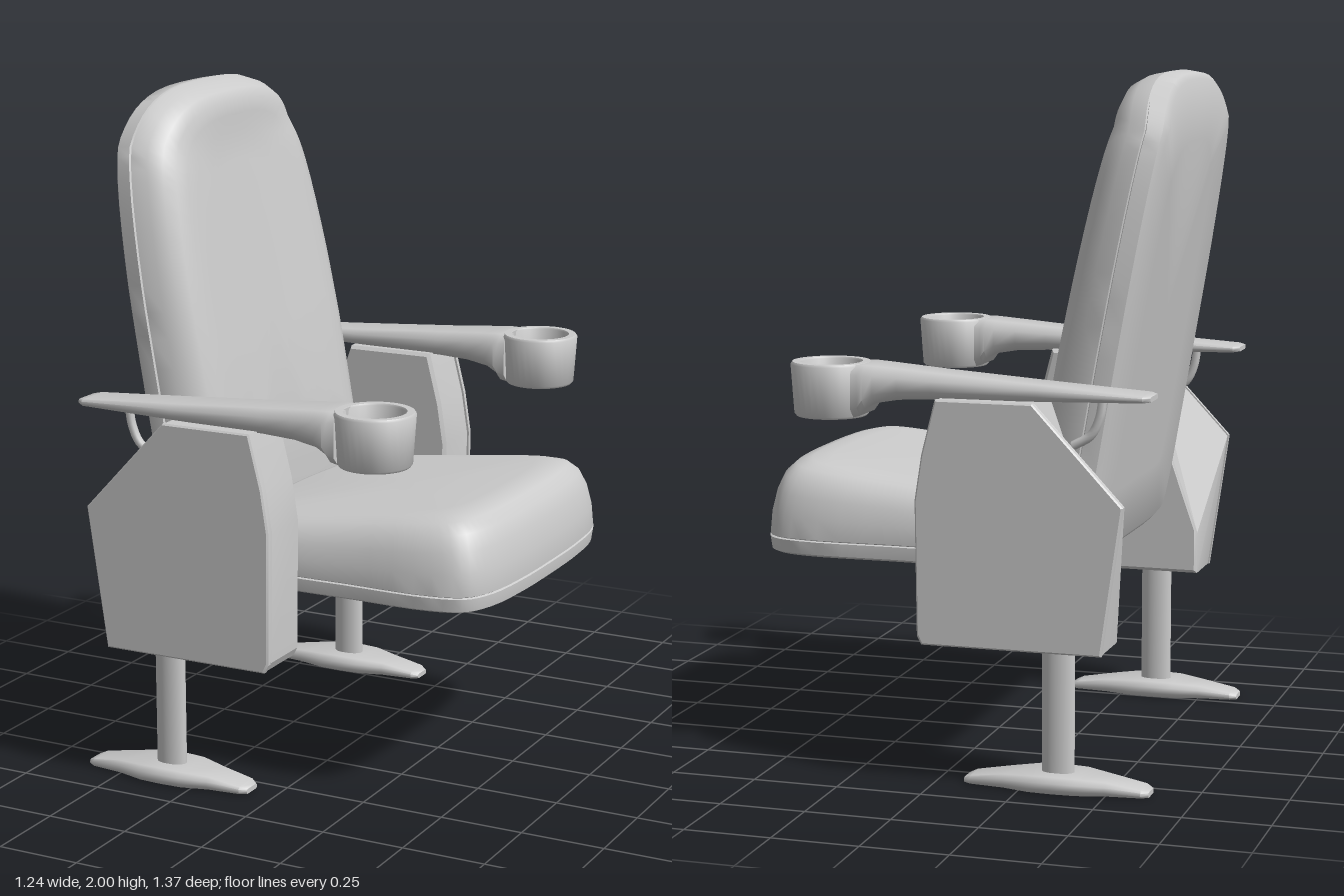
import * as THREE from 'three';
import { toCreasedNormals } from 'three/addons/utils/BufferGeometryUtils.js';

const material = new THREE.MeshStandardMaterial({ color: 0xcccccc });
const V = (x, y, z) => new THREE.Vector3(x, y, z);

function add(parent, name, geometry) {
  const mesh = new THREE.Mesh(geometry, material);
  mesh.name = name;
  parent.add(mesh);
  return mesh;
}

// Closed solid through rings of equal point count, capped at both ends
function loft(rings, crease) {
  const n = rings[0].length;
  const pts = rings.flat();
  const middle = (ring) => ring.reduce((a, p) => a.add(p), V(0, 0, 0)).divideScalar(n);
  pts.push(middle(rings[0]), middle(rings[rings.length - 1]));
  const tris = [];
  const last = (rings.length - 1) * n;
  for (let j = 0; j < n; j++) {
    const k = (j + 1) % n;
    for (let i = 0; i < last; i += n) {
      tris.push([i + j, i + k, i + n + k], [i + j, i + n + k, i + n + j]);
    }
    tris.push([k, j, last + n], [last + j, last + k, last + n + 1]);
  }
  // Turn the faces outward whichever way the rings run
  let volume = 0;
  for (const [a, b, c] of tris) volume += pts[a].dot(pts[b].clone().cross(pts[c]));
  if (volume < 0) tris.forEach((t) => t.reverse());
  const geometry = new THREE.BufferGeometry().setFromPoints(pts);
  geometry.setIndex(tris.flat());
  return toCreasedNormals(geometry, crease);
}

// Smooth closed outline from one half, mirrored in its second coordinate
function outline(half, count) {
  const other = half.slice(1, -1).reverse().map(([a, b]) => [a, -b]);
  const pts = [...half, ...other].map(([a, b]) => V(a, b, 0));
  return new THREE.CatmullRomCurve3(pts, true, 'centripetal').getPoints(count).slice(0, count);
}

// Bar section across x with bevelled corners
function section(x, y0, y1, z, half) {
  const c = Math.min((y1 - y0) * 0.3, half * 0.3);
  const zy = [
    [half, y0 + c], [half, y1 - c], [half - c, y1], [c - half, y1],
    [-half, y1 - c], [-half, y0 + c], [c - half, y0], [half - c, y0],
  ];
  return zy.map(([dz, y]) => V(x, y, z + dz));
}

// Seat: pan and cushion stacked upward, [height, inset]
function seatGeometry() {
  const shape = outline([
    [0.618, 0], [0.614, 0.2], [0.593, 0.37], [0.55, 0.453], [0.45, 0.486],
    [0.2, 0.488], [-0.18, 0.472], [-0.225, 0.42], [-0.255, 0.25], [-0.272, 0],
  ], 64);
  const levels = [
    [0.598, 0.02], [0.606, 0.005], [0.644, 0], [0.647, 0.006], [0.65, 0.001],
    [0.71, 0.006], [0.77, 0.02], [0.815, 0.04], [0.845, 0.07], [0.86, 0.11], [0.864, 0.16],
  ];
  return loft(levels.map(([y, inset]) => shape.map((p) => {
    // The rear edge stays nearly upright
    const shrink = p.x < 0.18 ? inset * 0.25 : inset;
    const x = 0.18 + (p.x - 0.18) * (1 - shrink / 0.44);
    const tilt = Math.max(0, (y - 0.66) / 0.2) * 0.12 * (x - 0.47);
    return V(x, y + tilt, p.y * (1 - inset / 0.486));
  })), 0.75);
}

// Backrest: shell and slightly dished cushion stacked forward, [depth, inset]
function backrestGeometry() {
  const shape = outline([
    [2, 0], [1.985, 0.22], [1.935, 0.338], [1.85, 0.41], [1.75, 0.445], [1.5, 0.478],
    [1.25, 0.487], [0.9, 0.487], [0.7, 0.482], [0.62, 0.455], [0.602, 0.38], [0.6, 0],
  ], 72);
  const levels = [
    [0, 0.2], [0, 0.025], [0.012, 0.008], [0.057, 0], [0.06, 0.006], [0.063, 0.001],
    [0.11, 0.01], [0.15, 0.03], [0.175, 0.06], [0.188, 0.1], [0.192, 0.15], [0.192, 0.24], [0.192, 0.36],
  ];
  return loft(levels.map(([d, inset]) => shape.map((p) => {
    const y = 1.3 + (p.x - 1.3) * (1 - inset / 0.7);
    const z = p.y * (1 - inset / 0.487);
    const back = -0.61 + 0.173 * Math.max(0, 1.85 - y) + 0.08 * Math.max(0, y - 1.85);
    const thicker = 1 + 0.1 * THREE.MathUtils.clamp((1.85 - y) / 0.65, 0, 1);
    const dish = 0.3 * Math.max(0, d - 0.15) * Math.max(0, 1 - (z / 0.38) ** 2);
    return V(Math.min(back + d * thicker, -0.238) - dish, y, z);
  })), 0.75);
}

function armAssembly(side) {
  const group = new THREE.Group();
  group.name = side > 0 ? 'leftArm' : 'rightArm';
  const zc = 0.57 * side;

  // Side housing, its inner rear corner cut away beside the backrest
  const front = [
    [-0.3, 1.107], [-0.02, 1.107], [0.02, 0.95], [0.04, 0.82], [0.035, 0.435], [0.022, 0.41], [-0.5, 0.41],
  ];
  const full = [...front, [-0.56, 0.83]];
  const inner = [...front, [-0.5, 0.54]];
  const ring = (profile, z, inset) => profile.map(([x, y]) =>
    V(-0.26 + (x + 0.26) * (1 - inset / 0.3), 0.76 + (y - 0.76) * (1 - inset / 0.35), z * side));
  add(group, 'sideHousing', loft([
    ring(inner, 0.485, 0.012), ring(inner, 0.495, 0.002), ring(full, 0.648, 0.002), ring(full, 0.662, 0.008),
  ], 0.4));
  add(group, 'outerPanel', loft([
    ring(full, 0.658, 0), ring(full, 0.672, 0), ring(full, 0.677, 0.005),
  ], 0.4));

  // Armrest: [x, bottom, top, half width]
  add(group, 'armrest', loft([
    [-0.62, 1.116, 1.13, 0.042], [-0.6, 1.114, 1.133, 0.058], [-0.3, 1.106, 1.153, 0.066],
    [0, 1.1, 1.174, 0.076], [0.1, 1.095, 1.182, 0.081], [0.17, 1.083, 1.187, 0.087],
    [0.2, 1.066, 1.189, 0.089], [0.215, 1.045, 1.189, 0.088], [0.236, 1.039, 1.189, 0.083],
  ].map(([x, y0, y1, half]) => section(x, y0, y1, zc, half)), 0.85));

  // Open cup ring
  const cup = new THREE.LatheGeometry([
    [0.083, 1.035], [0.1, 1.035], [0.106, 1.042], [0.116, 1.183],
    [0.111, 1.19], [0.09, 1.19], [0.087, 1.185], [0.083, 1.035],
  ].map(([r, y]) => new THREE.Vector2(r, y)), 32);
  cup.deleteAttribute('normal');
  cup.deleteAttribute('uv');
  add(group, 'cupHolder', toCreasedNormals(cup, 0.85)).position.set(0.322, 0, zc);

  // Curved strut under the rear of the armrest
  const bend = new THREE.CatmullRomCurve3([
    V(-0.475, 1.12, zc), V(-0.465, 1.06, zc), V(-0.44, 1.01, zc), V(-0.39, 0.98, zc),
  ]);
  add(group, 'armStrut', new THREE.TubeGeometry(bend, 12, 0.013, 8));

  // Oval post and rounded foot
  const post = new THREE.CylinderGeometry(0.0475, 0.0475, 0.4, 24).scale(1, 1, 0.64);
  add(group, 'leg', post).position.set(-0.35, 0.235, zc);
  add(group, 'foot', loft([
    [-0.62, 0.015, 0.03], [-0.6, 0.023, 0.045], [-0.5, 0.039, 0.06], [-0.42, 0.047, 0.084],
    [-0.35, 0.049, 0.088], [-0.28, 0.047, 0.084], [-0.2, 0.039, 0.06], [-0.1, 0.023, 0.045], [-0.08, 0.015, 0.03],
  ].map(([x, top, half]) => section(x, 0, top, zc, half)), 0.85));
  return group;
}

export function createModel() {
  const model = new THREE.Group();
  model.name = 'theatreSeat';
  add(model, 'seat', seatGeometry());
  add(model, 'backrest', backrestGeometry());
  for (const side of [1, -1]) model.add(armAssembly(side));
  return model;
}
